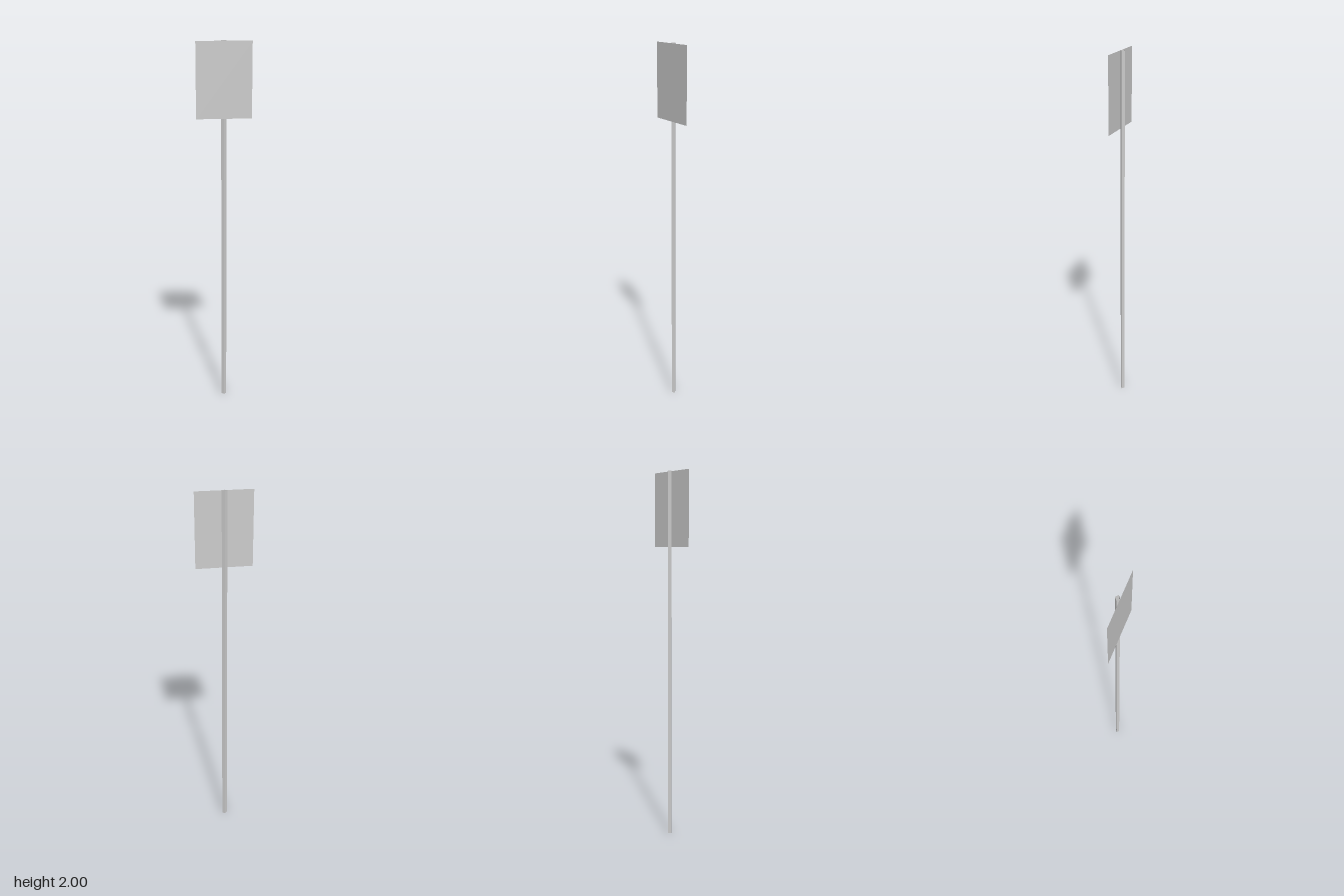
import * as THREE from 'three';

export function createModel() {
  const model = new THREE.Group();
  const material = new THREE.MeshStandardMaterial({
    color: 0xcccccc,
    flatShading: true,
    side: THREE.DoubleSide,
  });

  // Slim four-sided post, open at both ends, one edge facing the front
  const height = 2;
  const halfWidth = 0.014;
  const halfDepth = 0.012;
  const postGeometry = new THREE.CylinderGeometry(halfWidth, halfWidth, height, 4, 1, true);
  postGeometry.scale(1, 1, halfDepth / halfWidth);
  const post = new THREE.Mesh(postGeometry, material);
  post.name = 'post';
  post.position.y = height / 2;
  model.add(post);

  // Thin sign panel fixed to the front edge of the post
  const panelHeight = 0.395;
  const panel = new THREE.Mesh(new THREE.PlaneGeometry(0.294, panelHeight), material);
  panel.name = 'signPanel';
  panel.position.set(0, height - panelHeight / 2 - 0.002, halfDepth);
  model.add(panel);

  return model;
}
